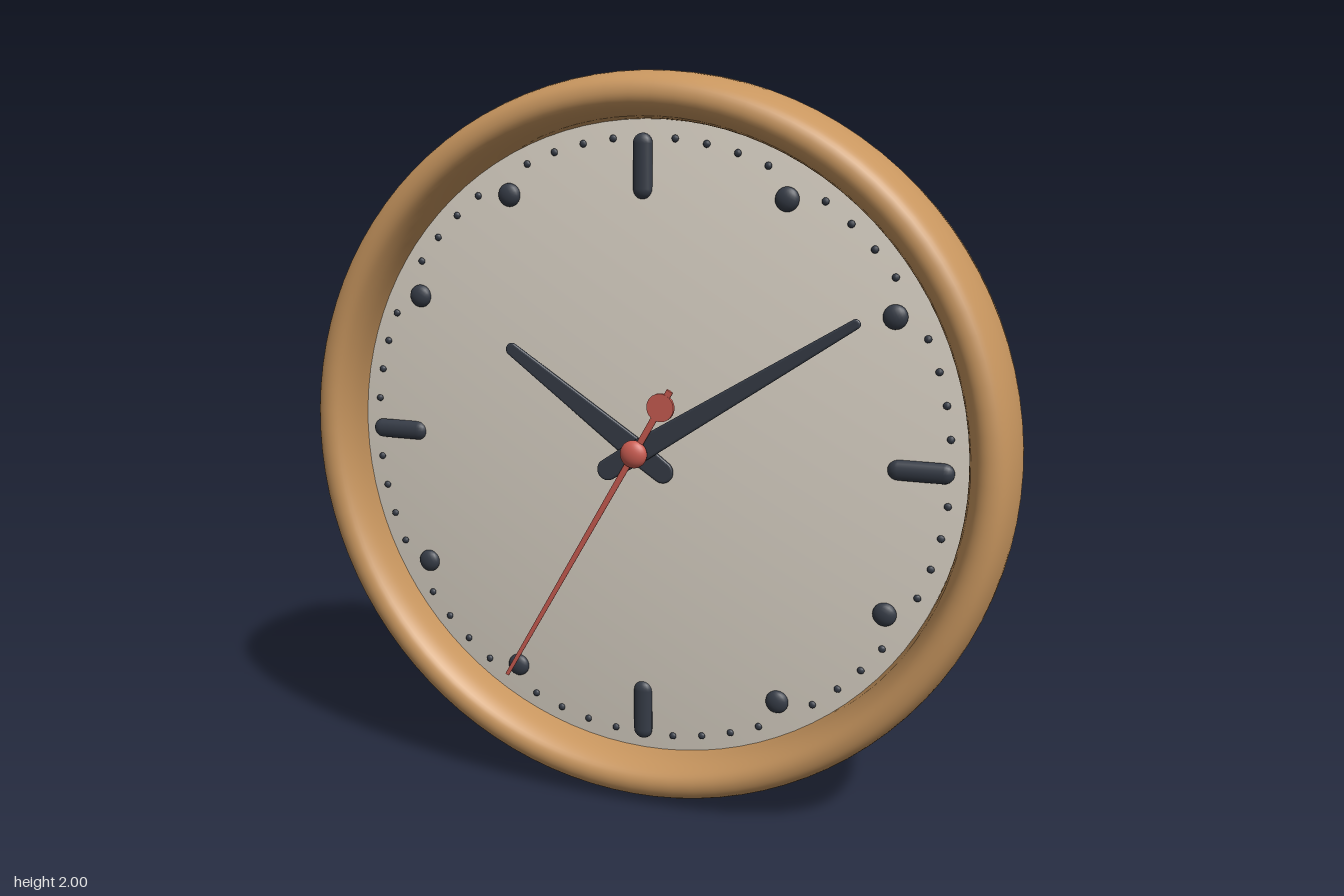
import * as THREE from 'three';

export function createModel() {
  const mat = (name, color) => {
    const m = new THREE.MeshStandardMaterial({ color });
    m.name = name;
    return m;
  };
  const wood = mat('warm wood', 0xc8965f);
  const cream = mat('cream dial', 0xdfd7ca);
  const slate = mat('dark slate', 0x363c47);
  const red = mat('soft red', 0xcb5d52);

  const clock = new THREE.Group();
  clock.name = 'wallClock';
  const face = new THREE.Group(); // dial-centred, facing +z
  face.name = 'clockBody';
  face.position.y = 1;
  clock.add(face);

  const add = (name, geometry, material, parent = face) => {
    const mesh = new THREE.Mesh(geometry, material);
    mesh.name = name;
    parent.add(mesh);
    return mesh;
  };
  const v = (x, y) => new THREE.Vector2(x, y);
  // Revolve a (radius, depth) profile around the z axis
  const revolve = (points, segments = 96) =>
    new THREE.LatheGeometry(points, segments).rotateX(Math.PI / 2);

  // Rounded wooden rim
  const rimProfile = new THREE.SplineCurve([
    v(0.965, -0.135), v(0.985, -0.105), v(0.998, -0.05), v(1, 0), v(0.997, 0.05),
    v(0.985, 0.1), v(0.965, 0.13), v(0.935, 0.14), v(0.908, 0.13),
    v(0.889, 0.1), v(0.879, 0.06), v(0.875, 0),
  ]);
  add('rim', revolve(rimProfile.getPoints(40)), wood);

  // Flat back plate with a thin lip
  const back = add('backPlate', new THREE.CylinderGeometry(0.985, 0.985, 0.008, 96).rotateX(Math.PI / 2), wood);
  back.position.z = -0.136;

  // Gently domed dial
  const dialRadius = 0.878;
  const dialDepth = (r) => 0.07 - 0.05 * (r / dialRadius) ** 2;
  const dialProfile = [];
  for (let i = 0; i <= 16; i++) {
    const r = dialRadius * (1 - i / 16);
    dialProfile.push(v(r, dialDepth(r)));
  }
  add('dial', revolve(dialProfile), cream);

  // Hour bars, hour dots and minute dots
  const markers = new THREE.Group();
  markers.name = 'markers';
  face.add(markers);
  const bar = new THREE.CapsuleGeometry(0.027, 0.117, 6, 16).scale(1, 1, 0.65);
  const hourDot = new THREE.SphereGeometry(0.032, 20, 12).scale(1, 1, 0.55);
  const minuteDot = new THREE.SphereGeometry(0.01, 10, 6).scale(1, 1, 0.7);
  for (let i = 0; i < 60; i++) {
    const angle = (i / 60) * Math.PI * 2;
    const [name, geometry, r] =
      i % 15 === 0 ? ['hourBar', bar, 0.755]
      : i % 5 === 0 ? ['hourDot', hourDot, 0.78]
      : ['minuteDot', minuteDot, 0.83];
    const mark = add(name, geometry, slate, markers);
    mark.position.set(Math.sin(angle) * r, Math.cos(angle) * r, dialDepth(r) + 0.004);
    mark.rotation.z = -angle;
  }

  // Tapered hand with rounded ends and bevelled edges
  const handGeometry = (tail, length, wide, narrow) => {
    const b = 0.006; // bevel
    const w = wide - b, n = narrow - b;
    const s = new THREE.Shape();
    s.moveTo(n, length - narrow);
    s.absarc(0, length - narrow, n, 0, Math.PI, false);
    s.lineTo(-w, 0);
    s.lineTo(-w * 0.9, -tail + wide);
    s.absarc(0, -tail + wide, w * 0.9, Math.PI, Math.PI * 2, false);
    s.lineTo(w, 0);
    return new THREE.ExtrudeGeometry(s, {
      depth: 0.002, bevelEnabled: true, bevelThickness: 0.005, bevelSize: b, bevelSegments: 3, curveSegments: 8,
    });
  };
  const hour = add('hourHand', handGeometry(0.12, 0.47, 0.034, 0.018), slate);
  hour.position.z = 0.076;
  hour.rotation.z = THREE.MathUtils.degToRad(55);
  const minute = add('minuteHand', handGeometry(0.13, 0.71, 0.032, 0.013), slate);
  minute.position.z = 0.09;
  minute.rotation.z = THREE.MathUtils.degToRad(-57.5);

  // Second hand with counterweight
  const second = new THREE.Group();
  second.name = 'secondHand';
  second.position.z = 0.106;
  second.rotation.z = THREE.MathUtils.degToRad(150);
  face.add(second);
  const needle = add('needle', new THREE.CylinderGeometry(0.006, 0.01, 0.99, 10).scale(1, 1, 0.5), red, second);
  needle.position.y = 0.29;
  const weight = add('counterweight', new THREE.CylinderGeometry(0.038, 0.038, 0.01, 28).rotateX(Math.PI / 2), red, second);
  weight.position.y = -0.152;

  // Centre cap
  const cap = add('centreCap', new THREE.SphereGeometry(0.038, 24, 16).scale(1, 1, 0.6), red);
  cap.position.z = 0.108;

  return clock;
}
